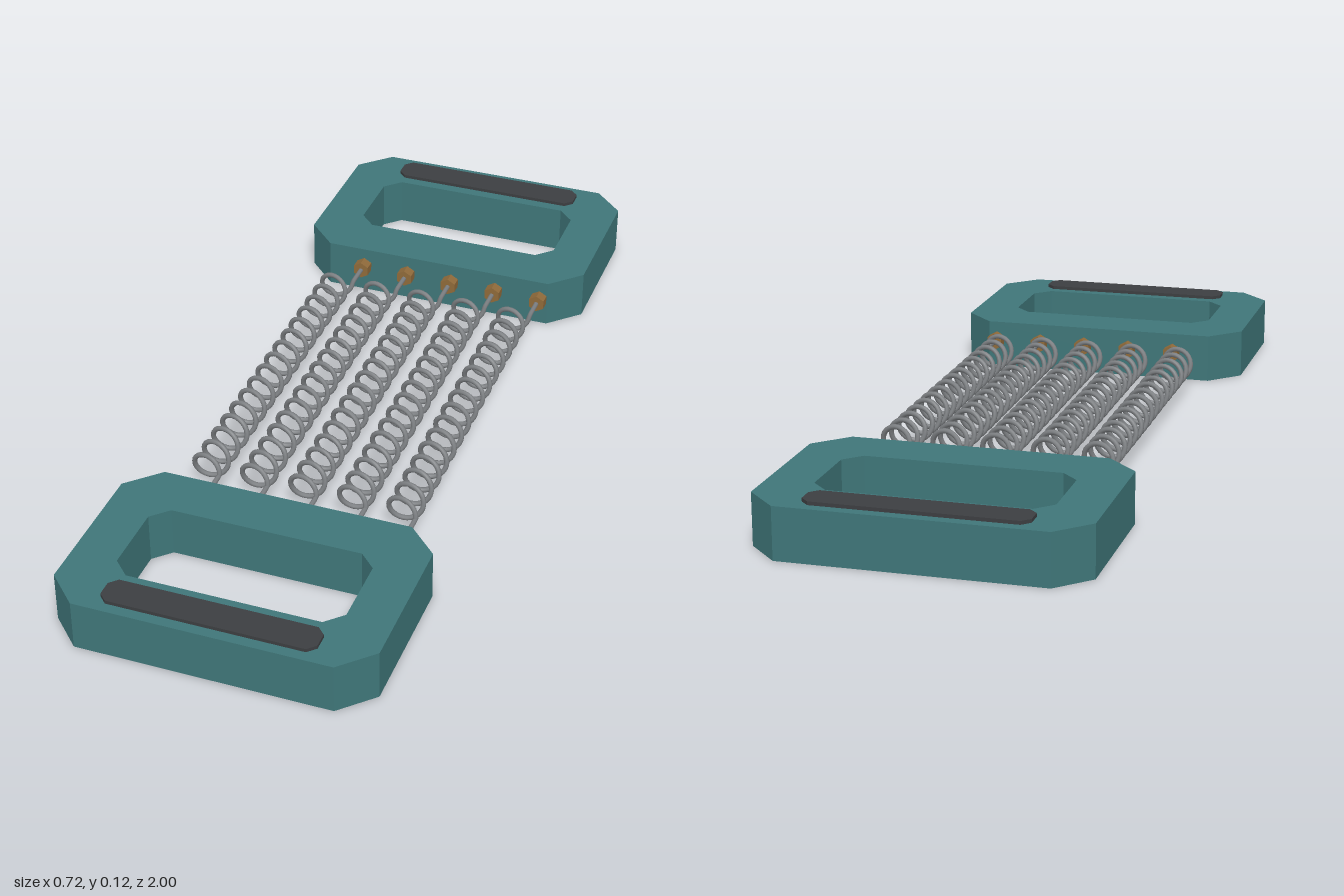
import * as THREE from 'three';

const teal = new THREE.MeshStandardMaterial({ color: 0x3f7679, flatShading: true });
const rubber = new THREE.MeshStandardMaterial({ color: 0x3c3e41, flatShading: true });
const brass = new THREE.MeshStandardMaterial({ color: 0x8f6a3a, flatShading: true });
const steel = new THREE.MeshStandardMaterial({ color: 0x7c7f82 });

const HANDLE_Z = 0.76, HANDLE_H = 0.117, SPRING_Y = 0.07;
const COIL_R = 0.036, WIRE_R = 0.006, COIL_END = 0.433, TURNS = 16;

// Rectangle with cut corners, centred on (0, cy)
function octagon(Type, w, h, c, cy = 0) {
  const x = w / 2, y = h / 2;
  return new Type([
    [x - c, -y], [x, c - y], [x, y - c], [x - c, y],
    [c - x, y], [-x, y - c], [-x, c - y], [c - x, -y],
  ].map(([px, py]) => new THREE.Vector2(px, py + cy)));
}

// Flat slab lying on the ground plane
function slab(shape, depth, material, name) {
  const geo = new THREE.ExtrudeGeometry(shape, { depth, bevelEnabled: false });
  geo.rotateX(-Math.PI / 2);
  const mesh = new THREE.Mesh(geo, material);
  mesh.name = name;
  return mesh;
}

// Wire: straight tail, helix, straight tail
class SpringCurve extends THREE.Curve {
  constructor() {
    super();
    this.arcLengthDivisions = 2000;
  }
  getPoint(t, target = new THREE.Vector3()) {
    const tail = 0.02, end = 0.515;
    if (t < tail) return target.set(COIL_R, 0, THREE.MathUtils.lerp(end, COIL_END, t / tail));
    if (t > 1 - tail) return target.set(COIL_R, 0, -THREE.MathUtils.lerp(COIL_END, end, (t - 1 + tail) / tail));
    const u = (t - tail) / (1 - 2 * tail), a = u * TURNS * Math.PI * 2;
    return target.set(COIL_R * Math.cos(a), COIL_R * Math.sin(a), COIL_END * (1 - 2 * u));
  }
}

function createHandle(springXs) {
  const handle = new THREE.Group();

  // Frame with hand opening
  const shape = octagon(THREE.Shape, 0.724, 0.48, 0.072);
  shape.holes.push(octagon(THREE.Path, 0.516, 0.236, 0.038));
  const frame = slab(shape, HANDLE_H, teal, 'handleFrame');

  // Grip pad on the outer bar
  const pad = slab(octagon(THREE.Shape, 0.48, 0.072, 0.018), 0.012, rubber, 'gripPad');
  pad.position.set(0, HANDLE_H - 0.004, 0.18);
  handle.add(frame, pad);

  // Hex ferrules on the inner side
  const hex = new THREE.CylinderGeometry(0.0215, 0.0215, 0.036, 6).rotateX(Math.PI / 2);
  for (const x of springXs) {
    const ferrule = new THREE.Mesh(hex, brass);
    ferrule.name = 'ferrule';
    ferrule.position.set(x, SPRING_Y, -0.249);
    handle.add(ferrule);
  }
  return handle;
}

export function createModel() {
  const model = new THREE.Group();
  model.name = 'chestExpander';
  const axes = [-2, -1, 0, 1, 2].map((i) => i * 0.1165);

  // Handles at both ends; the back one is turned round
  const front = createHandle(axes.map((x) => x + COIL_R));
  front.name = 'frontHandle';
  front.position.z = HANDLE_Z;
  const back = createHandle(axes.map((x) => -x - COIL_R));
  back.name = 'backHandle';
  back.position.z = -HANDLE_Z;
  back.rotation.y = Math.PI;
  model.add(front, back);

  // Five coil springs
  const springGeo = new THREE.TubeGeometry(new SpringCurve(), 420, WIRE_R, 8, false);
  for (const x of axes) {
    const spring = new THREE.Mesh(springGeo, steel);
    spring.name = 'spring';
    spring.position.set(x, SPRING_Y, 0);
    model.add(spring);
  }
  return model;
}
